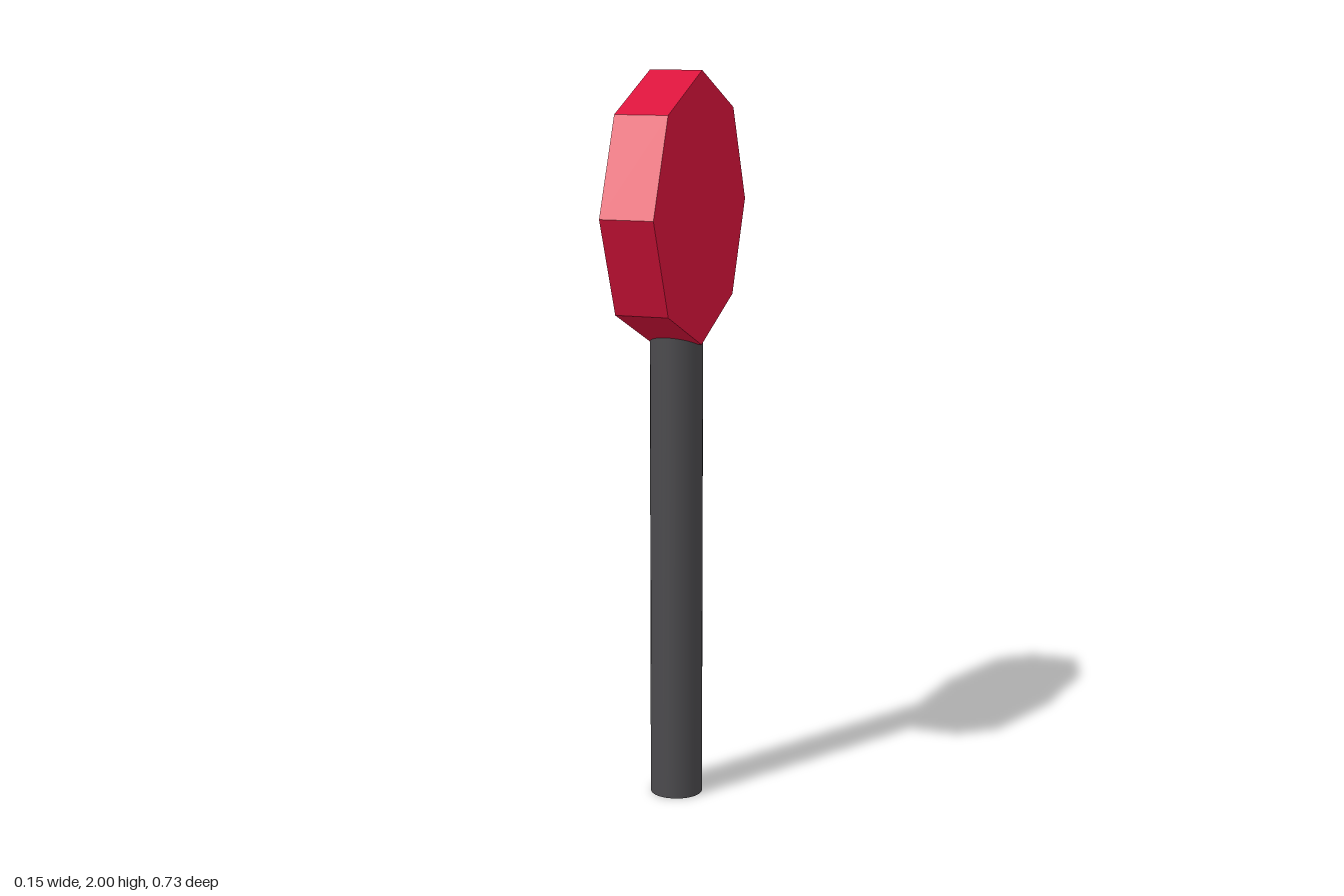
import * as THREE from 'three';

export function createModel() {
  const model = new THREE.Group();
  const add = (name, geometry, color, flatShading) => {
    const mesh = new THREE.Mesh(geometry, new THREE.MeshStandardMaterial({ color, flatShading }));
    mesh.name = name;
    model.add(mesh);
    return mesh;
  };

  // Octagonal sign: solid on the +x face, recessed behind a rim on the -x face
  const R = 0.363, inner = 0.29;
  const profile = [
    [0, -0.075], [R, -0.075], [R, 0.071],
    [inner, 0.071], [inner, 0.018], [0, 0.018],
  ].map(([r, h]) => new THREE.Vector2(r, h));
  const signGeometry = new THREE.LatheGeometry(profile, 8).rotateZ(Math.PI / 2);
  add('signHead', signGeometry, 0xdc143c, true).position.y = 2 - R;

  // Round pole, slightly off centre, its top ending inside the recess
  const poleHeight = 1.46;
  const pole = add('pole', new THREE.CylinderGeometry(0.072, 0.072, poleHeight, 32), 0x4b4a4d, false);
  pole.position.set(-0.0035, poleHeight / 2, -0.019);

  return model;
}
